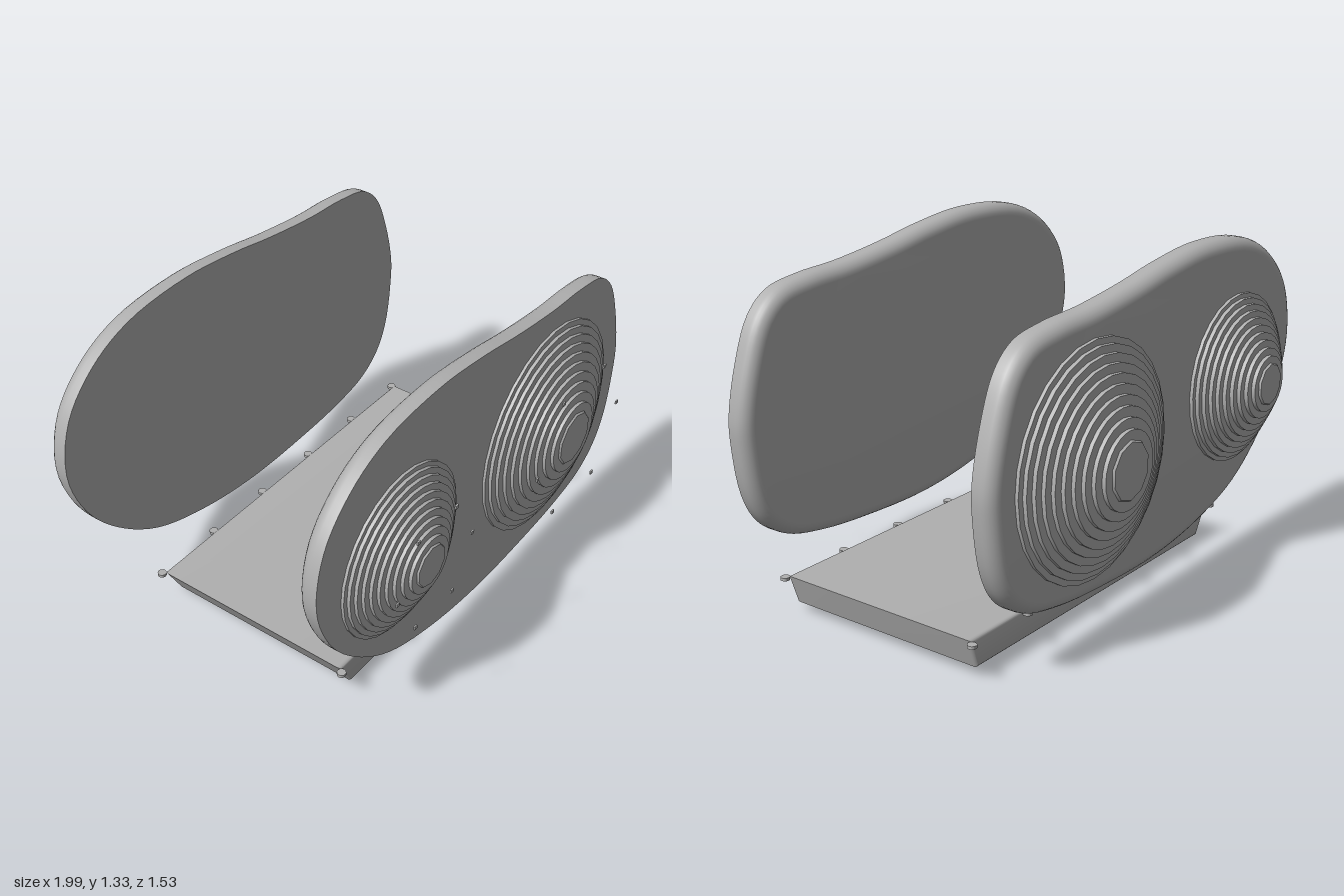
import * as THREE from 'three';
import { toCreasedNormals, mergeVertices } from 'three/addons/utils/BufferGeometryUtils.js';

const grey = new THREE.MeshStandardMaterial({ color: 0xb0b0b0 });
grey.name = 'grey';

// Outline shared by both side panels
const OUTLINE = [
  [-1, 0.84], [-0.93, 0.625], [-0.79, 0.45], [-0.58, 0.3], [-0.31, 0.215], [0, 0.175],
  [0.33, 0.18], [0.6, 0.205], [0.78, 0.25], [0.89, 0.33], [0.955, 0.45], [0.99, 0.66],
  [0.99, 0.77], [0.945, 0.96], [0.875, 1.12], [0.78, 1.2], [0.62, 1.23], [0.425, 1.24],
  [0.17, 1.27], [-0.045, 1.305], [-0.32, 1.33], [-0.63, 1.3], [-0.82, 1.21], [-0.955, 1.06],
];

function addMesh(parent, name, geometry, x = 0, y = 0, z = 0) {
  const mesh = new THREE.Mesh(geometry, grey);
  mesh.name = name;
  mesh.position.set(x, y, z);
  parent.add(mesh);
  return mesh;
}

// Slab with a flat +z face and a rounded rim on the -z side
function panelGeometry(depth, inset, roundDepth) {
  const curve = new THREE.CatmullRomCurve3(
    OUTLINE.map(([x, y]) => new THREE.Vector3(x, y, 0)), true, 'centripetal');
  const n = 120, steps = 6;
  const points = curve.getPoints(n).slice(0, n);
  const outward = points.map((p, i) => {
    const a = points[(i + n - 1) % n], b = points[(i + 1) % n];
    return new THREE.Vector2(b.y - a.y, a.x - b.x).normalize();
  });
  const sections = [[0, depth]];
  for (let k = 0; k <= steps; k++) {
    const a = (k / steps) * Math.PI / 2;
    sections.push([inset * (1 - Math.cos(a)), roundDepth * (1 - Math.sin(a))]);
  }
  const loops = sections.map(([d, z]) => points.map((p, i) =>
    new THREE.Vector3(p.x - outward[i].x * d, p.y - outward[i].y * d, z)));
  const position = [], index = [];
  loops.forEach(loop => loop.forEach(p => position.push(p.x, p.y, p.z)));
  for (let s = 0; s < loops.length - 1; s++) {
    for (let i = 0; i < n; i++) {
      const j = (i + 1) % n, a = s * n + i, b = s * n + j;
      index.push(a, a + n, b, b, a + n, b + n);
    }
  }
  // Flat caps
  const last = (loops.length - 1) * n;
  const cap = loop => THREE.ShapeUtils.triangulateShape(
    loop.map(p => new THREE.Vector2(p.x, p.y)), []);
  for (const [a, b, c] of cap(loops[0])) index.push(a, b, c);
  for (const [a, b, c] of cap(loops[loops.length - 1])) index.push(last + a, last + c, last + b);
  const g = new THREE.BufferGeometry();
  g.setAttribute('position', new THREE.Float32BufferAttribute(position, 3));
  g.setIndex(index);
  return toCreasedNormals(g, 0.7);
}

// Stepped round mound pointing along +z
function moundGeometry(radius, height) {
  const steps = 10, profile = [];
  for (let i = 0; i < steps; i++) {
    const r = radius * (1 - 0.67 * Math.pow(i / (steps - 1), 1.15));
    profile.push(new THREE.Vector2(r, height * 0.95 * i / steps));
    profile.push(new THREE.Vector2(r, height * 0.95 * (i + 1) / steps));
  }
  profile.push(new THREE.Vector2(0, height * 0.95));
  const g = new THREE.LatheGeometry(profile, 28);
  g.rotateX(Math.PI / 2);
  return toCreasedNormals(mergeVertices(g.deleteAttribute('normal').deleteAttribute('uv')), 0.6);
}

export function createModel() {
  const model = new THREE.Group();
  model.name = 'steppedPanelSet';

  // Side panels
  const panel = panelGeometry(0.085, 0.05, 0.05);
  addMesh(model, 'frontPanel', panel, 0, 0, 0.523);
  addMesh(model, 'backPanel', panel, 0, 0, -0.603);

  // Stepped mounds on the outer faces, each with a raised centre
  const mounds = [['small', -0.535, 0.765, 0.335, 0.225], ['large', 0.435, 0.705, 0.44, 0.3]];
  for (const [side, z, height, dir] of [['Front', 0.606, 0.138, 1], ['Back', -0.601, 0.163, -1]]) {
    for (const [size, x, y, radius, dotRing] of mounds) {
      const group = new THREE.Group();
      group.name = size + side + 'Mound';
      group.position.set(x, y, z);
      if (dir < 0) group.rotation.y = Math.PI;
      model.add(group);
      addMesh(group, 'steppedRings', moundGeometry(radius, height));
      const cap = new THREE.CylinderGeometry(radius * 0.24, radius * 0.26, height * 0.08, 10);
      cap.rotateX(Math.PI / 2);
      addMesh(group, 'centreCap', toCreasedNormals(cap, 0.7), 0, 0, height * 0.96);
      // Six tiny studs in front of each front mound
      if (dir < 0) continue;
      for (let i = 0; i < 6; i++) {
        const a = i * Math.PI / 3;
        addMesh(group, 'stud', new THREE.BoxGeometry(0.016, 0.014, 0.006),
          dotRing * Math.cos(a), dotRing * Math.sin(a), 0.153);
      }
    }
  }

  // Base tray with sloping ends
  const bevel = 0.015;
  const side = new THREE.Shape([[-0.632, 0.147], [-0.572, 0.048], [0.857, 0.056], [0.89, 0.147]]
    .map(([x, y]) => new THREE.Vector2(x, y)));
  const tray = new THREE.ExtrudeGeometry(side, {
    depth: 0.87 - 2 * bevel, bevelEnabled: true, bevelThickness: bevel, bevelSize: bevel, bevelSegments: 3,
  });
  tray.translate(0, 0, -0.435 + bevel);
  addMesh(model, 'tray', toCreasedNormals(tray, 0.6));

  // Pegs along both long edges
  const peg = toCreasedNormals(new THREE.CylinderGeometry(0.018, 0.018, 0.012, 12), 0.7);
  for (let i = 0; i < 6; i++) {
    for (const z of [-0.446, 0.446]) addMesh(model, 'peg', peg, -0.655 + i * 0.313, 0.147, z);
  }

  // Foot under the tray
  addMesh(model, 'foot', toCreasedNormals(new THREE.CylinderGeometry(0.036, 0.036, 0.05, 12), 0.7),
    0.127, 0.025, 0);
  return model;
}
